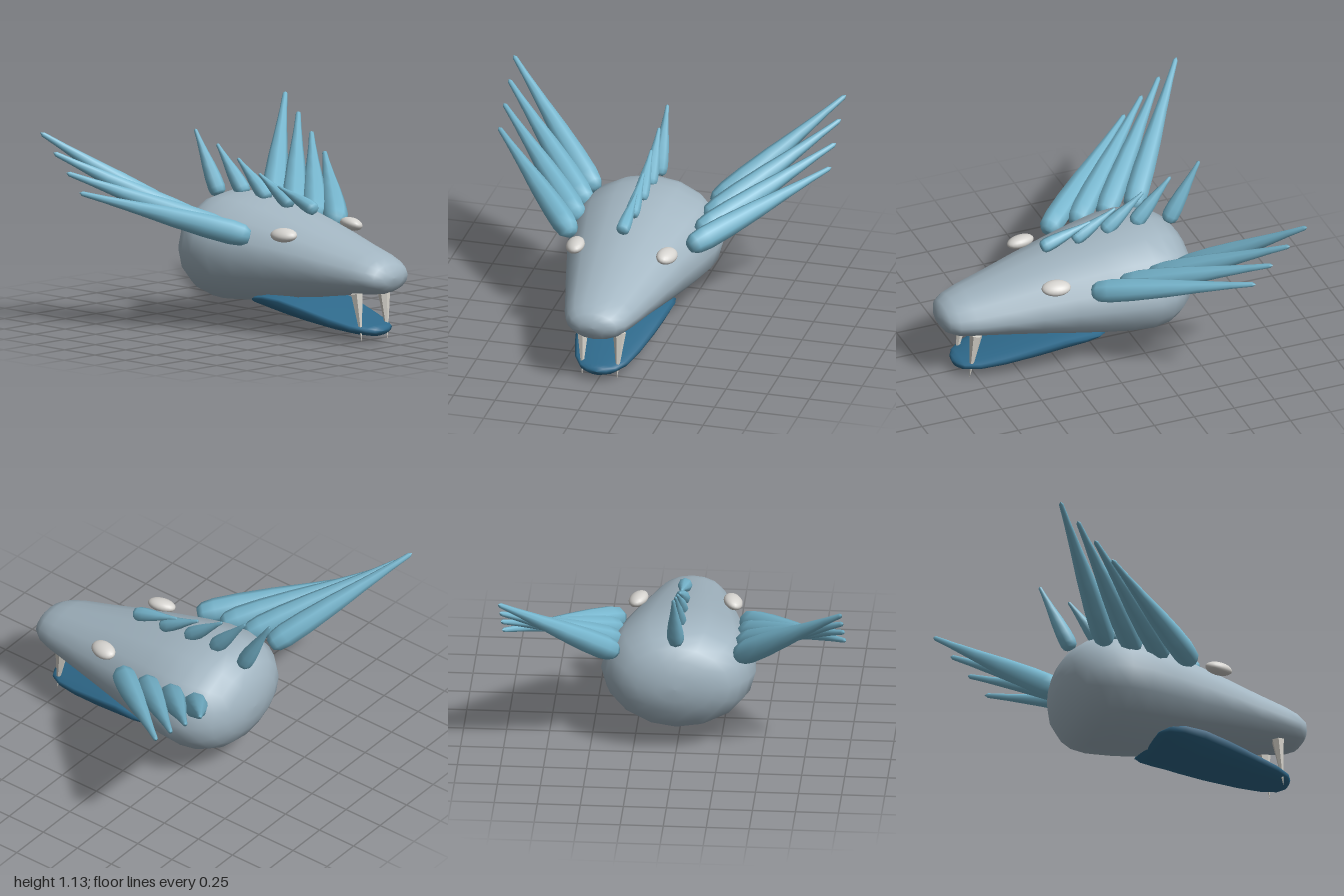
import * as THREE from 'three';

const mat = (name, color) => {
  const m = new THREE.MeshStandardMaterial({ color });
  m.name = name;
  return m;
};

// Loft of rounded rings along z. Section: [z, halfWidth, bottom, widestY, top]
function loft(sections, sides) {
  const pos = [], index = [];
  sections.forEach(([z, w, bottom, mid, top], i) => {
    for (let j = 0; j < sides; j++) {
      const a = (j / sides) * Math.PI * 2, s = Math.sin(a);
      pos.push(w * Math.cos(a), mid + s * (s > 0 ? top - mid : mid - bottom), z);
      if (i === sections.length - 1) continue;
      const a0 = i * sides + j, b0 = i * sides + (j + 1) % sides;
      index.push(a0, a0 + sides, b0, b0, a0 + sides, b0 + sides);
    }
  });
  const g = new THREE.BufferGeometry();
  g.setAttribute('position', new THREE.Float32BufferAttribute(pos, 3));
  g.setIndex(index);
  g.computeVertexNormals();
  return g;
}

// Blunt-based tapering quill between two points
function quill(name, from, to, radius, material) {
  const a = new THREE.Vector3(...from), d = new THREE.Vector3(...to).sub(a);
  const len = d.length();
  const profile = [[0, 0], [0.55, 0.004], [0.88, 0.04], [1, 0.11], [0.96, 0.25],
    [0.78, 0.45], [0.52, 0.65], [0.3, 0.85], [0.2, 0.98], [0, 1]]
    .map(([r, t]) => new THREE.Vector2(r * radius, t * len));
  const mesh = new THREE.Mesh(new THREE.LatheGeometry(profile, 8), material);
  mesh.name = name;
  mesh.position.copy(a);
  mesh.quaternion.setFromUnitVectors(new THREE.Vector3(0, 1, 0), d.normalize());
  return mesh;
}

export function createModel() {
  const group = new THREE.Group();
  group.name = 'hornedSerpentHead';
  const skin = mat('greySkin', 0xa3b6c2);
  const blue = mat('quillBlue', 0x78b8d0);
  const dark = mat('jawBlue', 0x2f6a8c);
  const eyeWhite = mat('eyeWhite', 0xd6d4d0);
  const ivory = mat('toothIvory', 0xd9d6ce);

  const add = (name, geometry, material) => {
    const mesh = new THREE.Mesh(geometry, material);
    mesh.name = name;
    group.add(mesh);
    return mesh;
  };

  // Skull and snout
  add('skull', loft([
    [0.95, 0, 0.385, 0.385, 0.385], [0.945, 0.08, 0.34, 0.385, 0.43],
    [0.92, 0.14, 0.305, 0.385, 0.465], [0.87, 0.18, 0.284, 0.385, 0.495],
    [0.78, 0.212, 0.27, 0.39, 0.525], [0.6, 0.258, 0.245, 0.4, 0.57],
    [0.4, 0.31, 0.212, 0.415, 0.625], [0.2, 0.36, 0.175, 0.425, 0.675],
    [0, 0.41, 0.145, 0.43, 0.72], [-0.15, 0.443, 0.125, 0.435, 0.745],
    [-0.28, 0.45, 0.115, 0.435, 0.752], [-0.38, 0.42, 0.118, 0.435, 0.745],
    [-0.45, 0.375, 0.145, 0.435, 0.72], [-0.51, 0.315, 0.2, 0.435, 0.675],
    [-0.555, 0.225, 0.28, 0.44, 0.61], [-0.578, 0.11, 0.36, 0.44, 0.52],
    [-0.582, 0, 0.44, 0.44, 0.44],
  ], 16), skin);

  // Hinged lower jaw
  add('lowerJaw', loft([
    [0.86, 0, 0.065, 0.065, 0.065], [0.85, 0.06, 0.042, 0.068, 0.09],
    [0.82, 0.11, 0.032, 0.075, 0.098], [0.74, 0.16, 0.031, 0.088, 0.113],
    [0.6, 0.2, 0.039, 0.115, 0.145], [0.4, 0.24, 0.058, 0.16, 0.192],
    [0.25, 0.262, 0.08, 0.19, 0.22], [0.12, 0.27, 0.108, 0.195, 0.227],
    [0.03, 0.25, 0.13, 0.185, 0.205], [-0.02, 0.2, 0.145, 0.165, 0.18],
    [-0.03, 0, 0.16, 0.16, 0.16],
  ], 16), dark);

  // Crest along the top of the skull: [baseY, baseZ, tipY, tipZ, radius]
  [[0.705, 0.3, 0.81, -0.01, 0.042], [0.71, 0.1, 0.865, -0.165, 0.044],
    [0.725, -0.09, 0.935, -0.34, 0.046], [0.73, -0.28, 1.0, -0.51, 0.048],
    [0.7, -0.49, 1.065, -0.69, 0.05]].forEach(([by, bz, ty, tz, r], i) =>
    group.add(quill('crestSpine' + (i + 1), [0, by, bz], [0, ty, tz], r, blue)));

  for (const [side, s] of [['left', 1], ['right', -1]]) {
    // Fan of four long cheek quills
    for (let i = 0; i < 4; i++) {
      group.add(quill(side + 'Quill' + (i + 1),
        [s * 0.355, 0.57 + i * 0.009, 0.12 - i * 0.178],
        [s * 1.0, 0.815 + i * 0.105, -0.635 - i * 0.107], 0.072, blue));
    }

    // Eye
    const eye = add(side + 'Eye', new THREE.SphereGeometry(1, 20, 14), eyeWhite);
    eye.scale.set(0.056, 0.038, 0.086);
    eye.position.set(s * 0.275, 0.595, 0.318);
    eye.rotation.set(0, -s * 0.2, -s * 0.28);

    // Fang
    const top = new THREE.Vector3(s * 0.11, 0.285, 0.752);
    const dir = new THREE.Vector3(s * 0.105, 0, 0.79).sub(top);
    const cone = new THREE.ConeGeometry(0.038, dir.length(), 6).toNonIndexed();
    cone.computeVertexNormals();
    const fang = add(side + 'Fang', cone, ivory);
    fang.position.copy(top).addScaledVector(dir, 0.5);
    fang.quaternion.setFromUnitVectors(new THREE.Vector3(0, 1, 0), dir.normalize());
  }
  return group;
}
